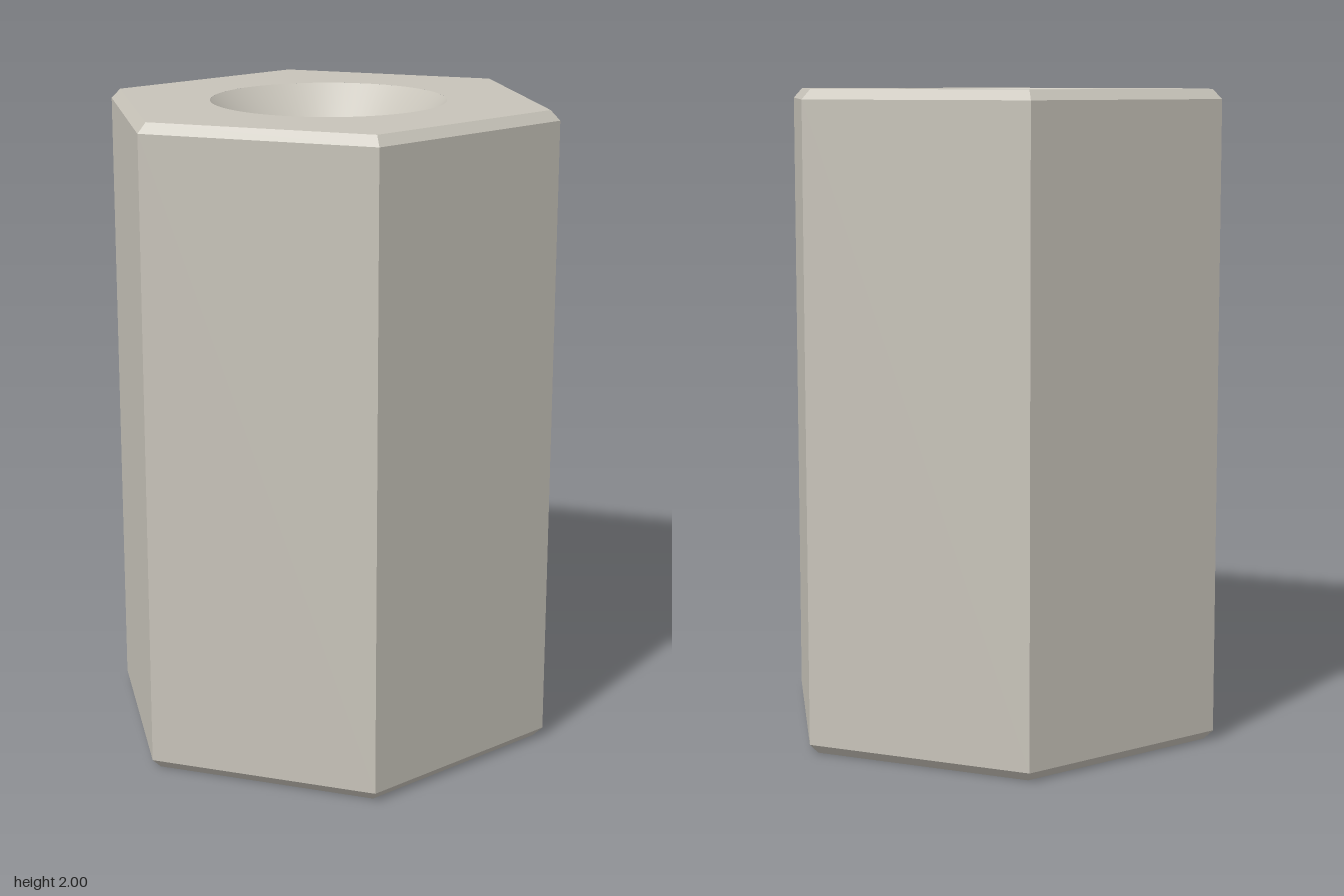
import * as THREE from 'three';

const HEIGHT = 2, RADIUS = 0.72, CHAMFER = 0.03;
const BORE = 0.25, MOUTH = 0.36, SINK = 0.11;
const TURN = THREE.MathUtils.degToRad(18);
const ROUND = 64;

export function createModel() {
  const group = new THREE.Group();
  const metal = new THREE.MeshStandardMaterial({ color: 0xc7c3b9 });
  metal.name = 'warm grey metal';

  const add = (name, geometry) => {
    const mesh = new THREE.Mesh(geometry, metal);
    mesh.name = name;
    group.add(mesh);
    return mesh;
  };
  const lathe = (profile, segments, start = 0) =>
    new THREE.LatheGeometry(profile.map(([r, y]) => new THREE.Vector2(r, y)), segments, start);

  // Six-sided outer wall with a chamfer at both ends, faceted
  const wall = lathe([
    [RADIUS - CHAMFER, 0],
    [RADIUS, CHAMFER],
    [RADIUS, HEIGHT - CHAMFER],
    [RADIUS - CHAMFER, HEIGHT],
  ], 6, TURN).toNonIndexed();
  wall.computeVertexNormals();
  add('hexBody', wall);

  // Flat end faces: hexagon with a round hole; side is 1 for top, -1 for bottom
  const endFace = (side) => {
    const r = RADIUS - CHAMFER;
    const corners = Array.from({ length: 6 }, (_, i) => {
      const a = TURN + (i * Math.PI) / 3;
      return new THREE.Vector2(r * Math.sin(a), -side * r * Math.cos(a));
    });
    const shape = new THREE.Shape(corners);
    shape.holes.push(new THREE.Path().absarc(0, 0, MOUTH, 0, Math.PI * 2, true));
    const geometry = new THREE.ShapeGeometry(shape, ROUND);
    geometry.rotateX(-side * Math.PI / 2);
    return geometry;
  };
  add('topFace', endFace(1)).position.y = HEIGHT;
  add('bottomFace', endFace(-1));

  // Through hole, profiles running downward so the surfaces face the axis
  add('topCountersink', lathe([[MOUTH, HEIGHT], [BORE, HEIGHT - SINK]], ROUND));
  add('bore', lathe([[BORE, HEIGHT - SINK], [BORE, SINK]], ROUND));
  add('bottomCountersink', lathe([[BORE, SINK], [MOUTH, 0]], ROUND));

  return group;
}
